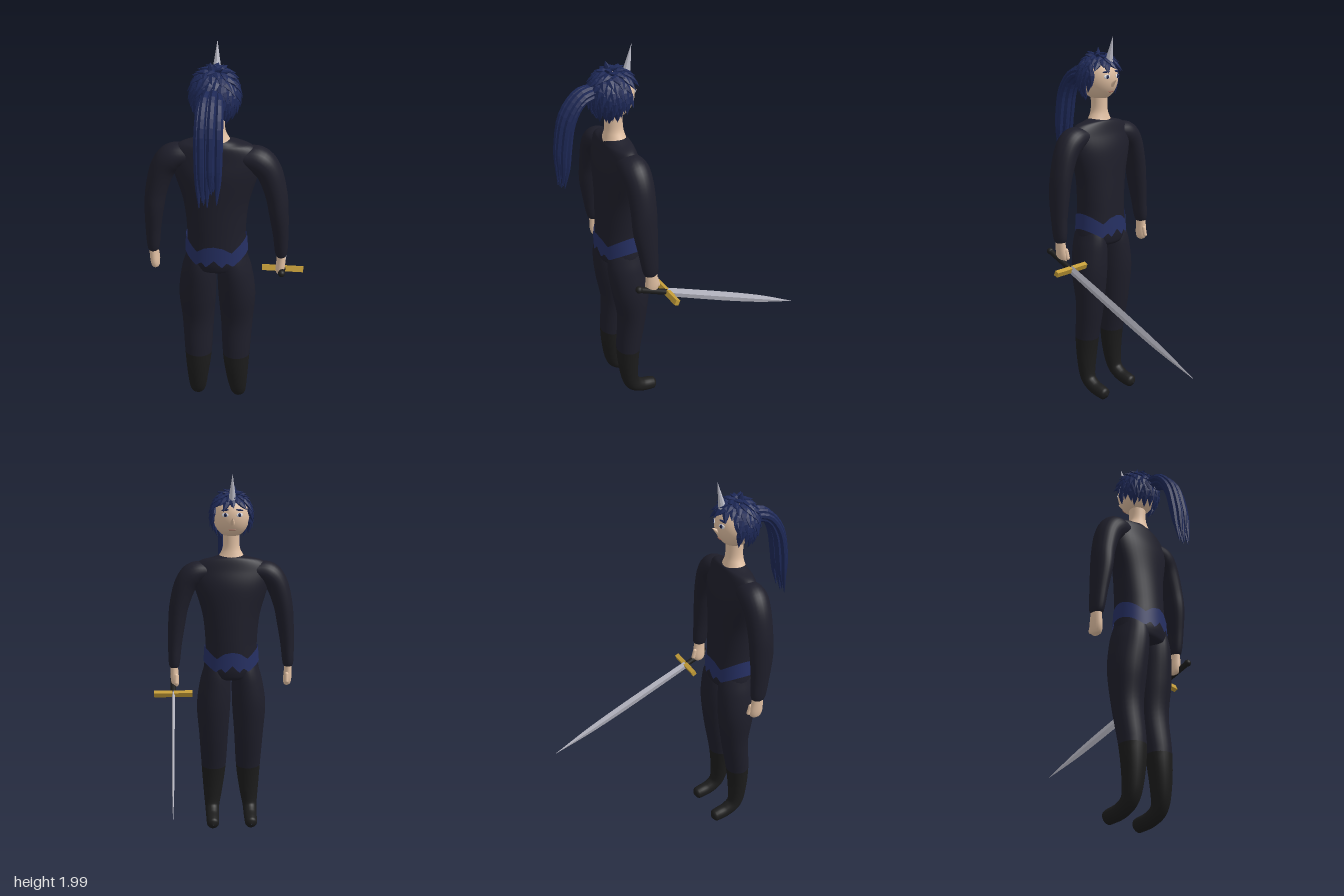
import * as THREE from 'three';

const mat = (name, color, flat = false) => {
  const m = new THREE.MeshStandardMaterial({ color, flatShading: flat });
  m.name = name;
  return m;
};

// Smooth tube through sections [x, y, z, sideRadius, depthRadius]; t0..t1 picks a stretch of it
function loft(secs, n = 24, rows = 40, t0 = 0, t1 = 1) {
  const curve = (f) => new THREE.CatmullRomCurve3(secs.map(f), false, 'catmullrom', 0.5);
  const path = curve((s) => new THREE.Vector3(s[0], s[1], s[2]));
  const radii = curve((s) => new THREE.Vector3(s[3], s[4], 0));
  const X = new THREE.Vector3(1, 0, 0);
  const pos = [], index = [];
  for (let i = 0; i <= rows; i++) {
    const t = t0 + (t1 - t0) * i / rows;
    const p = path.getPoint(t), r = radii.getPoint(t), d = path.getTangent(t);
    const N = X.clone().cross(d).normalize(), S = d.clone().cross(N);
    for (let j = 0; j < n; j++) {
      const a = j / n * Math.PI * 2;
      const v = p.clone().addScaledVector(S, Math.max(r.x, 0.001) * Math.cos(a))
        .addScaledVector(N, Math.max(r.y, 0.001) * Math.sin(a));
      pos.push(v.x, v.y, v.z);
      if (i < rows) {
        const k = (j + 1) % n, A = i * n + j, B = i * n + k;
        index.push(A, A + n, B, B, A + n, B + n);
      }
    }
  }
  const g = new THREE.BufferGeometry();
  g.setAttribute('position', new THREE.Float32BufferAttribute(pos, 3));
  g.setIndex(index);
  g.computeVertexNormals();
  return g;
}

// Piecewise linear lookup in [x, y] pairs
function lookup(pts, x) {
  for (let i = 1; i < pts.length; i++) {
    const [a, b] = [pts[i - 1], pts[i]];
    if (x <= b[0]) return a[1] + (b[1] - a[1]) * (x - a[0]) / (b[0] - a[0]);
  }
  return pts[pts.length - 1][1];
}

// Sash with zigzag edges wrapped round the hips
function sashGeometry() {
  const top = [[0, 1.055], [0.3, 1.045], [0.55, 1.015], [1, 1.07]];
  const bottom = [[0, 0.98], [0.25, 0.94], [0.4, 0.965], [0.57, 0.94], [1, 0.985]];
  const n = 96, rows = 4, pos = [], index = [];
  for (let i = 0; i <= rows; i++) for (let j = 0; j < n; j++) {
    const a = j / n * Math.PI * 2, u = Math.abs(Math.cos(a));
    const y = THREE.MathUtils.lerp(lookup(top, u), lookup(bottom, u), i / rows);
    const grow = (1.07 - y) * 0.07;
    pos.push((0.149 + grow) * Math.cos(a), y, 0.304 - (0.119 + grow * 0.5) * Math.sin(a));
    if (i < rows) {
      const k = (j + 1) % n, A = i * n + j, B = i * n + k;
      index.push(A, A + n, B, B, A + n, B + n);
    }
  }
  const g = new THREE.BufferGeometry();
  g.setAttribute('position', new THREE.Float32BufferAttribute(pos, 3));
  g.setIndex(index);
  g.computeVertexNormals();
  return g;
}

export function createModel() {
  const suit = mat('suit black', 0x1e1e2a), boot = mat('boot black', 0x1c1c1c);
  const sash = mat('sash blue', 0x252f62), skin = mat('skin', 0xe0bfa2);
  const hair = mat('hair blue', 0x1d2856, true), steel = mat('steel', 0xbcbcc8, true);
  const gold = mat('gold', 0xc49d38, true), white = mat('eye white', 0xe8e8ec);
  const lip = mat('lip', 0xa06a5c);
  sash.side = THREE.DoubleSide;

  let seed = 7;
  const rnd = () => (seed = (seed * 16807) % 2147483647) / 2147483647;
  const model = new THREE.Group();
  const body = new THREE.Group();
  body.name = 'body';
  body.position.x = -0.045;
  model.add(body);
  const add = (parent, name, geo, material, x = 0, y = 0, z = 0) => {
    const m = new THREE.Mesh(geo, material);
    m.name = name;
    m.position.set(x, y, z);
    parent.add(m);
    return m;
  };

  // Torso, neck and sash
  add(body, 'torso', loft([
    [0, 1.575, 0.305, 0.05, 0.04], [0, 1.56, 0.305, 0.1, 0.055], [0, 1.54, 0.304, 0.17, 0.065],
    [0, 1.49, 0.303, 0.21, 0.077], [0, 1.4, 0.3, 0.2, 0.098], [0, 1.25, 0.3, 0.158, 0.106],
    [0, 1.1, 0.302, 0.143, 0.113], [0, 1, 0.304, 0.147, 0.116], [0, 0.93, 0.304, 0.152, 0.113],
    [0, 0.89, 0.304, 0.12, 0.09], [0, 0.875, 0.304, 0.002, 0.002]], 40, 60), suit);
  add(body, 'neck', loft([[0, 1.7, 0.305, 0.045, 0.044], [0, 1.62, 0.305, 0.045, 0.044],
    [0, 1.58, 0.305, 0.06, 0.05], [0, 1.545, 0.305, 0.085, 0.06]], 24, 16), skin);
  add(body, 'sash', sashGeometry(), sash);

  // Arms, hands, legs and boots, mirrored
  for (const [s, side] of [[1, 'left'], [-1, 'right']]) {
    const flip = (secs) => secs.map(([x, ...r]) => [x * s, ...r]);
    add(body, side + 'Sleeve', loft(flip([
      [0.13, 1.485, 0.303, 0.05, 0.06], [0.2, 1.468, 0.303, 0.066, 0.07], [0.25, 1.41, 0.303, 0.061, 0.067],
      [0.285, 1.3, 0.305, 0.053, 0.064], [0.3, 1.2, 0.307, 0.047, 0.062], [0.312, 1.08, 0.3, 0.038, 0.05],
      [0.318, 0.96, 0.29, 0.028, 0.037], [0.318, 0.95, 0.29, 0.002, 0.002]])), suit);
    add(body, side + 'Hand', loft(flip([
      [0.318, 0.98, 0.29, 0.021, 0.029], [0.318, 0.93, 0.288, 0.022, 0.032], [0.315, 0.88, 0.285, 0.023, 0.036],
      [0.312, 0.85, 0.283, 0.018, 0.027], [0.312, 0.838, 0.283, 0.002, 0.002]]), 16, 20), skin);
    const thumb = add(body, side + 'Thumb', new THREE.CapsuleGeometry(0.011, 0.04, 4, 10), skin, 0.308 * s, 0.89, 0.252);
    thumb.rotation.x = 0.25;

    const leg = flip([
      [0.075, 1, 0.305, 0.06, 0.08], [0.082, 0.93, 0.305, 0.074, 0.1], [0.09, 0.85, 0.302, 0.087, 0.105],
      [0.1, 0.72, 0.296, 0.094, 0.097], [0.1, 0.55, 0.296, 0.082, 0.074], [0.1, 0.35, 0.322, 0.07, 0.063],
      [0.105, 0.2, 0.325, 0.055, 0.051], [0.11, 0.105, 0.31, 0.042, 0.042], [0.11, 0.062, 0.26, 0.038, 0.038],
      [0.11, 0.045, 0.2, 0.036, 0.036], [0.11, 0.04, 0.175, 0.03, 0.03], [0.11, 0.037, 0.16, 0.002, 0.002]]);
    add(body, side + 'TrouserLeg', loft(leg, 24, 32, 0, 5 / 11), suit);
    add(body, side + 'Boot', loft(leg, 24, 40, 5 / 11, 1), boot);
  }

  // Head and face (looking along -z)
  const C = new THREE.Vector3(0, 1.78, 0.305), R = new THREE.Vector3(0.098, 0.115, 0.105);
  const ball = new THREE.SphereGeometry(1, 32, 20);
  add(body, 'head', ball, skin, C.x, C.y, C.z).scale.copy(R);
  const onFace = (name, material, x, y, lift, w, h, d) => {
    const z = C.z - R.z * Math.sqrt(1 - (x / R.x) ** 2 - ((y - C.y) / R.y) ** 2) - lift;
    const m = add(body, name, ball, material, x, y, z);
    m.scale.set(w, h, d);
    m.rotation.y = -Math.asin(x / R.x) * 0.9;
    return m;
  };
  for (const s of [1, -1]) {
    onFace('eyeWhite', white, 0.038 * s, 1.79, 0, 0.018, 0.011, 0.004);
    onFace('iris', sash, 0.037 * s, 1.79, 0.002, 0.009, 0.01, 0.004);
    onFace('pupil', boot, 0.037 * s, 1.79, 0.004, 0.005, 0.005, 0.003);
    onFace('eyebrow', hair, 0.038 * s, 1.815, 0, 0.021, 0.005, 0.005).rotation.z = -0.12 * s;
    onFace('ear', skin, 0.093 * s, 1.77, -0.02, 0.012, 0.025, 0.018);
  }
  onFace('mouth', lip, 0, 1.712, 0, 0.02, 0.004, 0.004);
  const nose = add(body, 'nose', new THREE.ConeGeometry(0.016, 0.045, 12), skin, 0, 1.762, 0.195);
  nose.rotation.x = -0.95;

  // Horn on the forehead
  const horn = add(body, 'horn', new THREE.ConeGeometry(0.024, 0.16, 8), steel, 0, 1.922, 0.217);
  horn.rotation.x = -0.23;

  // Short overlapping locks covering the scalp
  const lock = new THREE.LatheGeometry([[0.001, -1.2], [0.45, -0.5], [0.7, 0.1], [0.5, 0.7], [0.001, 1]]
    .map(([x, y]) => new THREE.Vector2(x, y)), 6);
  const locks = new THREE.Group();
  locks.name = 'scalpLocks';
  body.add(locks);
  const count = 175;
  for (let i = 0; i < count; i++) {
    const y = 1 - 2 * (i + 0.5) / count, q = Math.sqrt(1 - y * y), a = i * 2.39996;
    const d = new THREE.Vector3(q * Math.cos(a), y, q * Math.sin(a));
    if (y < -0.6 || (d.z < -0.42 && y < 0.45) || (d.z < 0 && y < -0.4)) continue;
    const up = new THREE.Vector3((rnd() - 0.5) * 0.5, 1, (rnd() - 0.5) * 0.5);
    up.addScaledVector(d, -up.dot(d) - 0.2).normalize();
    const side = up.clone().cross(d).normalize(), out = side.clone().cross(up);
    const p = d.clone().multiply(R).multiplyScalar(1.08).add(C);
    const m = add(locks, 'lock', lock, hair, p.x, p.y, p.z);
    m.quaternion.setFromRotationMatrix(new THREE.Matrix4().makeBasis(side, up, out));
    m.scale.set(0.027, 0.027 + 0.015 * Math.min(1, 1 - y) + 0.004 * rnd(), 0.017);
  }

  // Ponytail strands
  const tail = new THREE.Group();
  tail.name = 'ponytail';
  body.add(tail);
  for (let i = 0; i < 14; i++) {
    const a = i / 14 * Math.PI * 2, k = i % 2 ? 1 : 0.55;
    const ox = Math.cos(a) * 0.048 * k, o = Math.sin(a) * 0.024 * k, end = 1.36 + 0.1 * rnd();
    add(tail, 'strand', loft([
      [ox * 0.6, 1.81 + o, 0.385, 0.014, 0.014], [ox * 0.9, 1.79 + o, 0.475, 0.017, 0.016],
      [ox, 1.7 + o * 0.7, 0.54 + o * 0.7, 0.018, 0.016], [ox, 1.57, 0.568 + o, 0.017, 0.015],
      [ox * 0.95, (1.57 + end) / 2, 0.578 + o * 0.8, 0.014, 0.012],
      [ox * 0.85, end, 0.592 + o * 0.3, 0.002, 0.002]], 7, 18), hair);
  }

  // Sword held in the left hand; local +y runs to the tip
  const sword = new THREE.Group();
  sword.name = 'sword';
  sword.position.set(0.28, 0.82, 0.207);
  sword.rotation.x = -1.993;
  model.add(sword);
  add(sword, 'blade', loft([
    [0, 0, 0, 0.008, 0.024], [0, 0.22, 0, 0.008, 0.026], [0, 0.44, 0, 0.007, 0.026],
    [0, 0.66, 0, 0.006, 0.02], [0, 0.885, 0, 0.001, 0.001]], 4, 16), steel);
  add(sword, 'guard', new THREE.BoxGeometry(0.21, 0.024, 0.028), gold);
  add(sword, 'grip', new THREE.CylinderGeometry(0.015, 0.015, 0.17, 14), boot, 0, -0.09, 0);
  add(sword, 'pommel', new THREE.SphereGeometry(0.018, 14, 10), boot, 0, -0.17, 0);
  return model;
}
